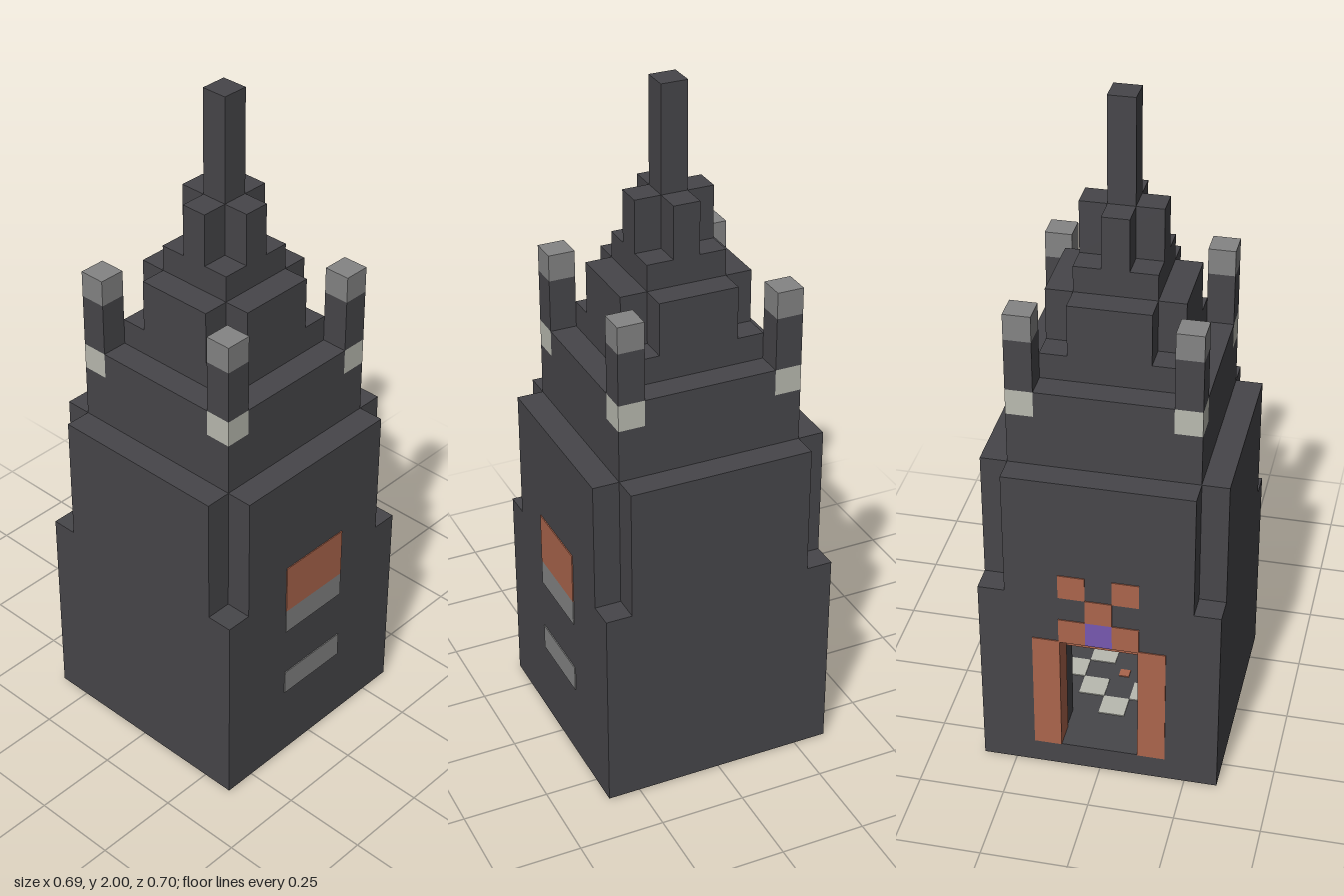
import * as THREE from 'three';

const U = 2 / 26; // edge of one block
const E = 0.04;   // slight relief of painted details, in blocks

const flat = (name, color) => {
  const m = new THREE.MeshStandardMaterial({ color });
  m.name = name;
  return m;
};

export function createModel() {
  const stone = flat('dark stone', 0x47464a);
  const grey = flat('mid grey', 0x848484);
  const pale = flat('pale stone', 0xb9bab0);
  const copper = flat('copper', 0xab654c);
  const violet = flat('violet', 0x7758b0);
  const model = new THREE.Group();

  // Box between two corners, given in blocks
  const box = (name, mat, x0, x1, y0, y1, z0, z1) => {
    const g = new THREE.BoxGeometry((x1 - x0) * U, (y1 - y0) * U, (z1 - z0) * U);
    g.translate((x0 + x1) / 2 * U, (y0 + y1) / 2 * U, (z0 + z1) / 2 * U);
    const mesh = new THREE.Mesh(g, mat);
    mesh.name = name;
    model.add(mesh);
  };
  // Square tier, and tier with notched corners
  const tier = (name, r, y0, y1) => box(name, stone, -r, r, y0, y1, -r, r);
  const cross = (name, r, y0, y1) => {
    box(name, stone, -r, r, y0, y1, 1 - r, r - 1);
    box(name, stone, 1 - r, r - 1, y0, y1, -r, r);
  };

  // Floor and hollow ground storey with a doorway at the back
  tier('floor', 4.5, E, 1);
  for (const s of [-1, 1]) {
    const span = (a, b) => (s > 0 ? [a, b] : [-b, -a]);
    box('sideWall', stone, ...span(2.5, 4.5), 1, 8, -4.5, 4.5);
    box('backWall', stone, ...span(1.5, 2.5), 1, 8, -4.5, -2.5);
    // Door pillars
    box('doorPillar', copper, ...span(1.5 - E, 2.5), 1, 6, -4.5 - E, -3.5);
    // Arch blocks and finials
    box('archBlock', copper, ...span(0.5, 1.5), 6 - E, 7, -4.5 - E, -3.5);
    box('archFinial', copper, ...span(0.5, 1.5), 8, 9, -4.5 - E, -4.4);
    // Inlays on the inner side walls
    box('wallInlay', violet, ...span(2.5 - E, 3), 1, 2, -0.5, 0.5);
    box('wallInlay', grey, ...span(2.5 - E, 3), 2, 3, -0.5, 0.5);
    box('wallInlay', violet, ...span(2.5 - E, 3), 6, 7.5, -0.5, 0.5);
  }
  box('frontWall', stone, -2.5, 2.5, 1, 8, 2.5, 4.5);
  box('doorHead', stone, -1.5, 1.5, 6, 8, -4.5, -2.5);
  box('archKeystone', violet, -0.5, 0.5, 6 - E, 7, -4.5 - E, -3.5);
  box('archTop', copper, -0.5, 0.5, 7, 8, -4.5 - E, -4.4);
  box('innerLintel', copper, -1.5, 1.5, 5, 6, -3.5, -2.5);

  // Diamond of floor tiles, seen from inside and below
  for (let x = -2; x <= 2; x++) {
    for (const z of new Set([2 - Math.abs(x), Math.abs(x) - 2])) {
      box('floorTile', pale, x - 0.5, x + 0.5, 0, 1 + E, z - 0.5, z + 0.5);
    }
  }
  box('violetTile', violet, 2.5, 3.5, 0, 1, -0.5, 0.5);
  box('centreTile', copper, -0.2, 0.2, 0, 1 + E, -0.2, 0.2);

  // Front panels
  box('frontWindow', copper, -1.5, 1.5, 7, 9, 4.45, 4.5 + E);
  box('windowSill', grey, -1.5, 1.5, 6, 7, 4.45, 4.5 + E);
  box('lowerPanel', grey, -1.5, 1.5, 3, 4, 4.45, 4.5 + E);

  // Stepped tiers up to the spire
  cross('upperStorey', 4.5, 8, 13);
  tier('terrace', 3.5, 13, 15);
  cross('terraceTop', 3.5, 15, 16);
  tier('belfry', 2.5, 16, 17);
  cross('belfryTop', 2.5, 17, 19);
  tier('lantern', 1.5, 19, 20);
  cross('lanternTop', 1.5, 20, 22);
  tier('spire', 0.5, 22, 26);

  // Four corner turrets with pale bands and grey caps
  for (const x of [-3, 3]) {
    for (const z of [-3, 3]) {
      const turret = (name, mat, y0, y1) =>
        box(name, mat, x - 0.5, x + 0.5, y0, y1, z - 0.5, z + 0.5);
      turret('turretBand', pale, 15, 16);
      turret('turretShaft', stone, 16, 18);
      turret('turretCap', grey, 18, 19);
    }
  }
  return model;
}
